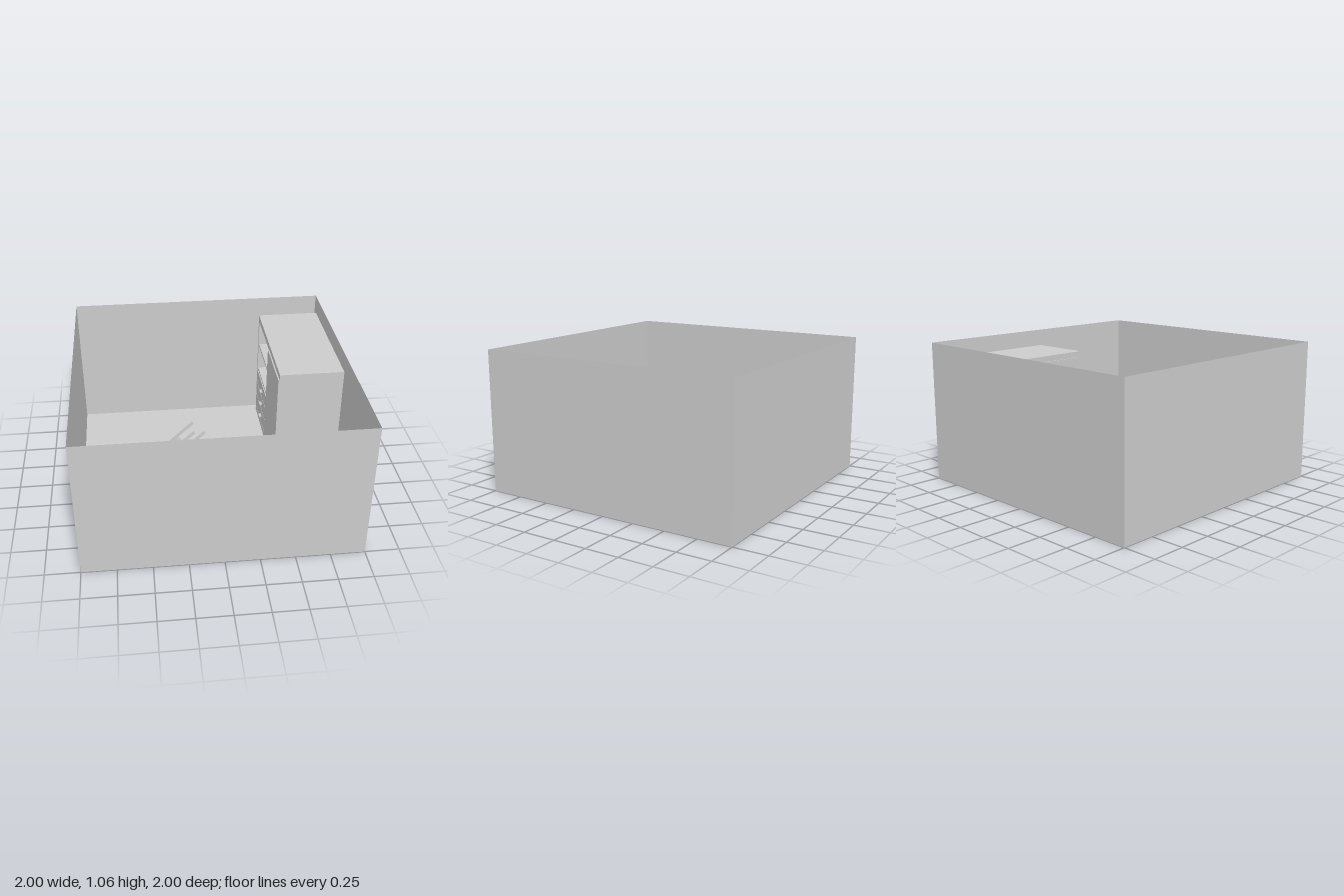
import * as THREE from 'three';
import { RoundedBoxGeometry } from 'three/addons/geometries/RoundedBoxGeometry.js';

const grey = new THREE.MeshStandardMaterial({ color: 0xcccccc });
const thin = new THREE.MeshStandardMaterial({ color: 0xcccccc, side: THREE.DoubleSide });

function add(parent, name, geometry, x = 0, y = 0, z = 0, material = grey) {
  const mesh = new THREE.Mesh(geometry, material);
  mesh.name = name;
  mesh.position.set(x, y, z);
  parent.add(mesh);
  return mesh;
}

// Box given by its lowest and highest corners
function box(parent, name, [x0, y0, z0], [x1, y1, z1]) {
  return add(parent, name, new THREE.BoxGeometry(x1 - x0, y1 - y0, z1 - z0),
    (x0 + x1) / 2, (y0 + y1) / 2, (z0 + z1) / 2);
}

function part(parent, name) {
  const group = new THREE.Group();
  group.name = name;
  parent.add(group);
  return group;
}

// Thin floor and four walls, open at the top
function buildRoom(parent) {
  const room = part(parent, 'room');
  const height = 1.06;
  add(room, 'floor', new THREE.PlaneGeometry(2, 2).rotateX(-Math.PI / 2), 0, 0, 0, thin);
  ['frontWall', 'leftWall', 'backWall', 'rightWall'].forEach((name, i) => {
    const wall = new THREE.PlaneGeometry(2, height).translate(0, height / 2, 1).rotateY(i * Math.PI / 2);
    add(room, name, wall, 0, 0, 0, thin);
  });
}

// Wardrobe: open shelves above drawers in one bay, a door on the other
function buildWardrobe(parent) {
  const g = part(parent, 'wardrobe');
  const x0 = 0.513, x1 = 0.998, z0 = -0.94, z1 = 0.06, t = 0.025, split = -0.42;
  box(g, 'wardrobeTop', [x0, 0.88, z0], [x1, 0.93, z1]);
  box(g, 'wardrobeBase', [x0, 0.002, z0], [x1, 0.05, z1]);
  box(g, 'wardrobeBack', [x1 - 0.015, 0.05, z0], [x1, 0.88, z1]);
  for (const z of [z0, split - t, z1 - t]) {
    box(g, 'wardrobePanel', [x0, 0.05, z], [x1 - 0.015, 0.88, z + t]);
  }
  box(g, 'wardrobeDoor', [x0 - 0.01, 0.04, split], [x0, 0.885, z1]);
  for (const y of [0.42, 0.65]) {
    box(g, 'shelf', [x0 + 0.005, y, z0 + t], [x1 - 0.015, y + 0.02, split - t]);
  }
  for (let i = 0; i < 3; i++) {
    const y = 0.055 + i * 0.122;
    box(g, 'drawer', [x0, y, z0 + t + 0.003], [x1 - 0.03, y + 0.115, split - t - 0.003]);
    box(g, 'drawerHandle', [x0 - 0.022, y + 0.05, -0.68], [x0, y + 0.062, -0.64]);
  }
}

// Desk against the wall with a small rounded object on it
function buildDesk(parent) {
  const g = part(parent, 'desk');
  box(g, 'deskTop', [0.765, 0.32, 0.275], [0.998, 0.35, 0.78]);
  for (const x of [0.767, 0.976]) {
    for (const z of [0.277, 0.758]) box(g, 'deskLeg', [x, 0.002, z], [x + 0.02, 0.32, z + 0.02]);
  }
  const item = part(g, 'deskItem');
  item.position.set(0.845, 0.362, 0.595);
  item.rotation.y = Math.PI * 0.2;
  add(item, 'itemHead', new THREE.SphereGeometry(0.02, 20, 12).scale(1, 0.6, 0.75), -0.013);
  add(item, 'itemHandle', new THREE.CylinderGeometry(0.004, 0.006, 0.035, 10).rotateZ(-Math.PI / 2), 0.018);
}

// Pillow: puffed in the middle, pinched at the edges, pointed corners
function pillowGeometry(width, height, depth) {
  const geometry = new THREE.SphereGeometry(1, 40, 24);
  const p = geometry.attributes.position;
  for (let i = 0; i < p.count; i++) {
    const x = p.getX(i), y = p.getY(i), z = p.getZ(i);
    const r = Math.hypot(x, z);
    const square = r > 1e-6 ? r / Math.max(Math.abs(x), Math.abs(z)) : 1;
    const u = x * square, v = z * square;
    p.setXYZ(i,
      u * (0.93 + 0.07 * v * v) * width / 2,
      Math.sign(y) * Math.pow(Math.abs(y), 1.3) * height / 2,
      v * (0.93 + 0.07 * u * u) * depth / 2);
  }
  geometry.computeVertexNormals();
  return geometry;
}

function buildBed(parent) {
  const g = part(parent, 'bed');
  box(g, 'bedFrame', [-0.998, 0.06, 0.235], [-0.645, 0.13, 0.998]);
  for (const x of [-0.996, -0.677]) {
    for (const z of [0.237, 0.966]) box(g, 'bedLeg', [x, 0.002, z], [x + 0.03, 0.06, z + 0.03]);
  }
  add(g, 'mattress', new RoundedBoxGeometry(0.342, 0.08, 0.735, 5, 0.03), -0.825, 0.16, 0.617);
  add(g, 'pillow', pillowGeometry(0.235, 0.05, 0.13), -0.822, 0.217, 0.88);
}

// Radiator: upright fins joined by a slimmer core
function buildRadiator(parent) {
  const g = part(parent, 'radiator');
  const count = 9, step = 0.0547, width = 0.028, x0 = -0.353;
  for (let i = 0; i < count; i++) {
    const x = x0 + i * step;
    box(g, 'radiatorFin', [x, 0.03, 0.912], [x + width, 0.41, 0.998]);
  }
  for (const y of [0.07, 0.33]) {
    box(g, 'radiatorPipe', [x0 + width / 2, y, 0.922], [x0 + (count - 1) * step + width / 2, y + 0.04, 0.99]);
  }
}

// Chair modelled upright, then tipped over onto its seat edge and backrest
function buildChair(parent) {
  const g = part(parent, 'chair');
  const depth = 0.16, half = 0.08, height = 0.355, leg = 0.018, seat = 0.205;
  for (const z of [-half, half - leg]) {
    box(g, 'rearLeg', [-leg, 0, z], [0, seat - 0.02, z + leg]);
    box(g, 'frontLeg', [-depth, 0, z], [-depth + leg, seat - 0.02, z + leg]);
  }
  box(g, 'seat', [-depth, seat - 0.02, -half], [0, seat, half]);
  box(g, 'backrest', [-leg, seat, -half], [0, height, half]);
  g.rotation.z = THREE.MathUtils.degToRad(133);
  g.position.set(-0.108, 0.257, -0.326);
}

export function createModel() {
  const model = new THREE.Group();
  model.name = 'furnishedRoom';
  buildRoom(model);
  buildWardrobe(model);
  buildDesk(model);
  buildBed(model);
  buildRadiator(model);
  buildChair(model);
  return model;
}
